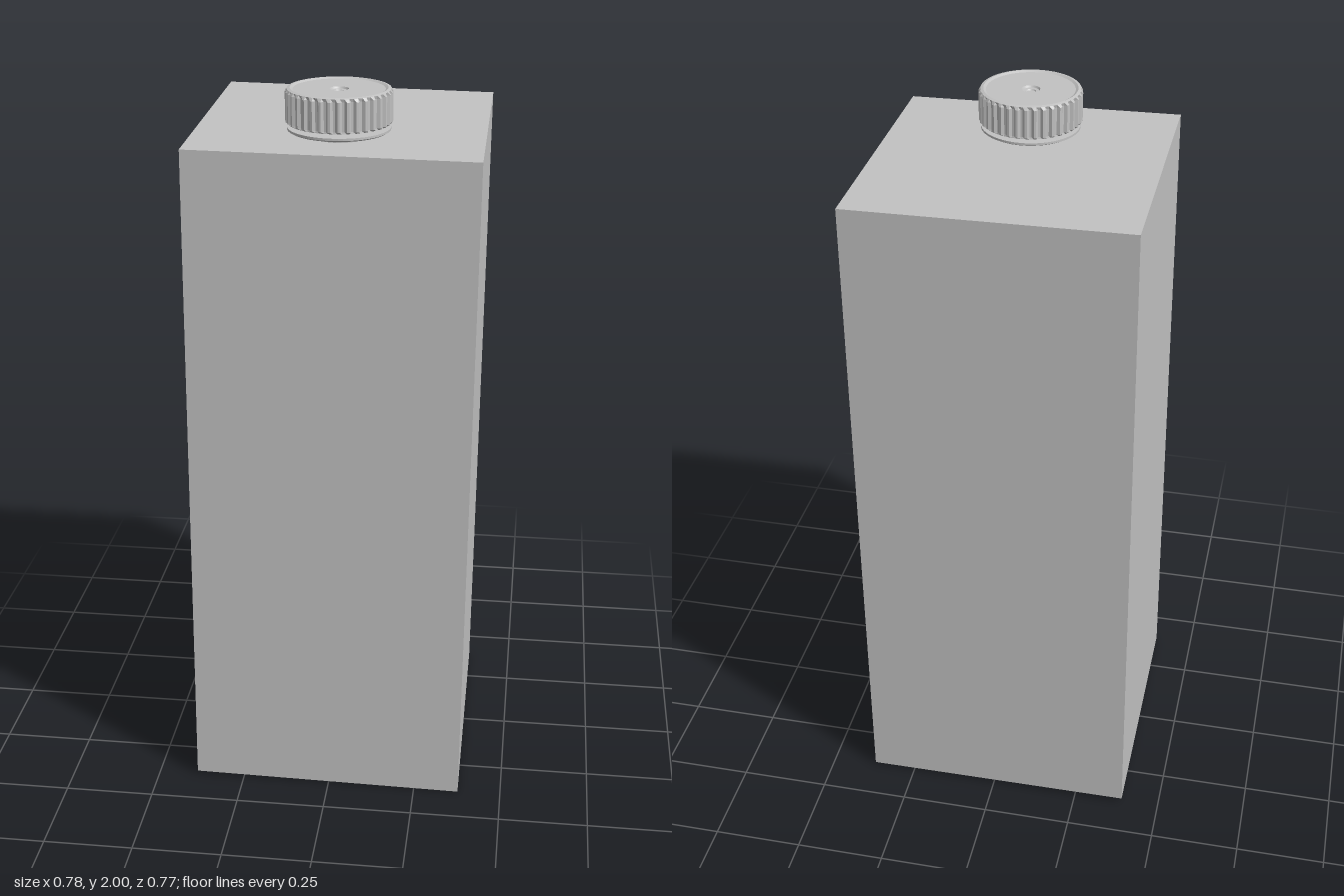
import * as THREE from 'three';

const CAP_X = 0.01, CAP_Z = 0.185;

// Lathe from [radius, y] pairs, listed from the bottom axis up to the top axis
function lathe(name, pairs, segments, material) {
  const points = pairs.map(([r, y]) => new THREE.Vector2(r, y));
  const mesh = new THREE.Mesh(new THREE.LatheGeometry(points, segments), material);
  mesh.name = name;
  mesh.position.set(CAP_X, 0, CAP_Z);
  return mesh;
}

export function createModel() {
  const model = new THREE.Group();
  model.name = 'carton';
  const grey = new THREE.MeshStandardMaterial({ color: 0xc2c2c2, flatShading: true });
  grey.name = 'plain grey';

  // Carton body: a tall box leaning very slightly to its left
  const bodyGeometry = new THREE.BoxGeometry(0.765, 1.868, 0.766);
  const p = bodyGeometry.attributes.position;
  for (let i = 0; i < p.count; i++) {
    const x = p.getX(i), y = p.getY(i), z = p.getZ(i);
    p.setXYZ(i,
      x + 0.0075 * (y / 0.934) + 0.0025 * (z / 0.383),
      y + 0.939 - 0.005 * (x / 0.3825) - 0.003 * (z / 0.383),
      z + 0.003 * (x / 0.3825) * (z < 0 ? 1 : 0));
  }
  bodyGeometry.computeVertexNormals();
  const body = new THREE.Mesh(bodyGeometry, grey);
  body.name = 'cartonBody';
  model.add(body);

  // Narrow neck joining the cap to the carton
  model.add(lathe('neck', [[0.07, 1.865], [0.07, 1.915]], 32, grey));

  // Thin tamper ring below the cap
  model.add(lathe('tamperRing',
    [[0.07, 1.885], [0.128, 1.888], [0.135, 1.892], [0.135, 1.898], [0.07, 1.899]], 64, grey));

  // Screw cap with a small round dimple in the middle of its top
  const cap = lathe('screwCap', [
    [0, 1.909], [0.134, 1.909], [0.14, 1.914], [0.14, 1.99], [0.135, 1.998],
    [0.127, 2], [0.12, 1.996], [0.025, 1.996], [0.022, 1.991], [0.014, 1.99], [0.012, 1.987], [0, 1.987],
  ], 144, grey);

  // Grip ribs: pull in every other pair of columns on the cap's side
  const c = cap.geometry.attributes.position;
  const perColumn = 12;
  for (let i = 0; i < c.count; i++) {
    const column = Math.floor(i / perColumn), row = i % perColumn;
    if ((row === 2 || row === 3) && column % 4 < 2) {
      c.setX(i, c.getX(i) * 0.95);
      c.setZ(i, c.getZ(i) * 0.95);
    }
  }
  cap.geometry.computeVertexNormals();
  model.add(cap);

  return model;
}
